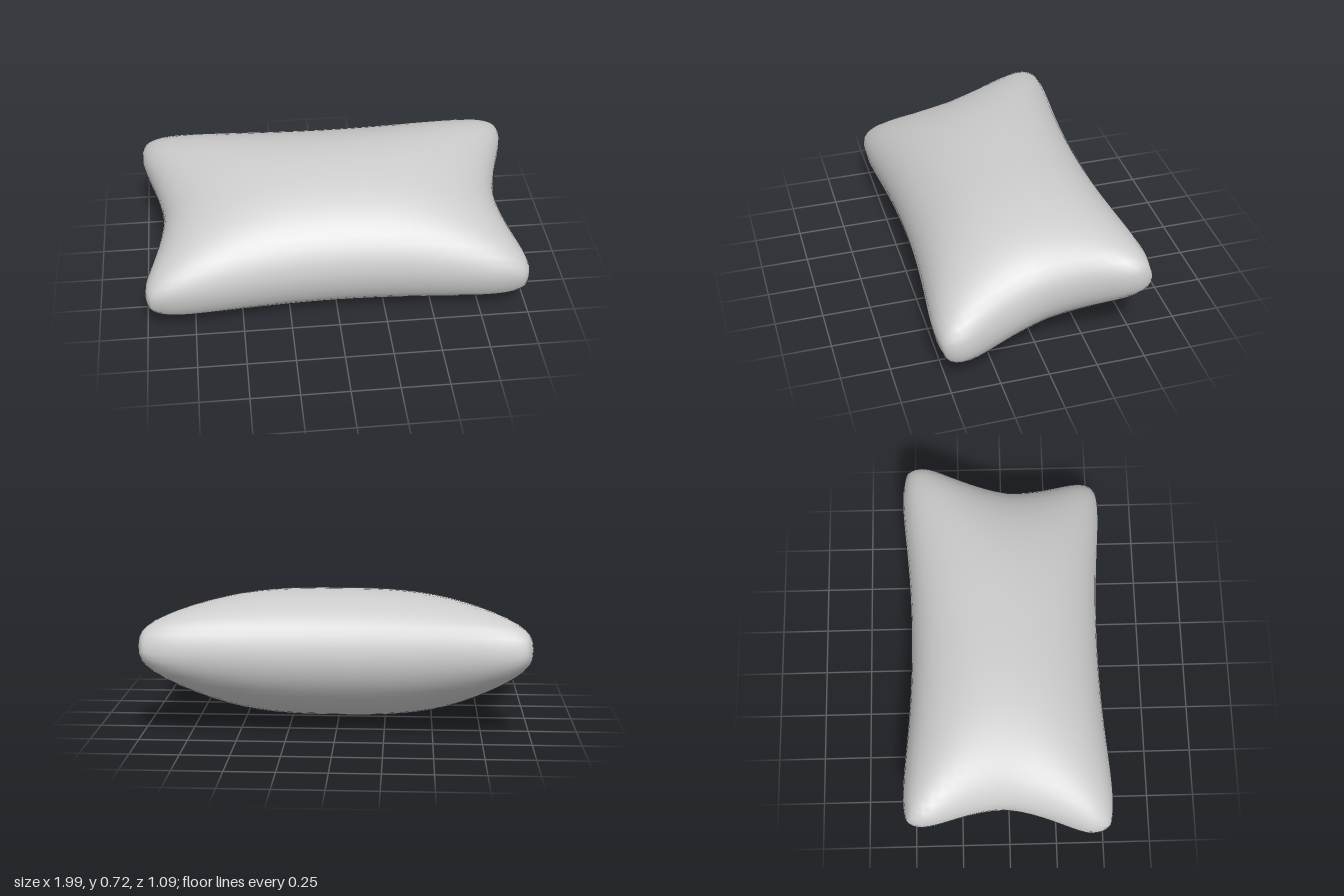
import * as THREE from 'three';
import { mergeGeometries, mergeVertices } from 'three/addons/utils/BufferGeometryUtils.js';

// One bulging sheet of the cushion; side is +1 for the upper, -1 for the lower
function cushionSheet(side) {
  const geo = new THREE.PlaneGeometry(2, 2, 32, 24);
  geo.deleteAttribute('uv');
  geo.deleteAttribute('normal');
  const pos = geo.attributes.position;
  for (let i = 0; i < pos.count; i++) {
    // sine spacing gathers the rows towards the rim
    const s = Math.sin(pos.getX(i) * Math.PI / 2);
    const t = Math.sin(pos.getY(i) * Math.PI / 2);
    // concave edges with rounded corners
    const x = s * (0.89 + 0.175 * Math.abs(t) ** 1.6 - 0.1 * t ** 8);
    const v = t * (0.504 + 0.09 * s ** 2 - 0.055 * s ** 8);
    // thickness swells from the rim to the middle, thinner at the corners
    const a = Math.max(0, 1 - Math.abs(s) ** 2.7);
    const b = Math.max(0, 1 - Math.abs(t) ** 2.1);
    const swell = (1 / Math.sqrt(a) + 1 / Math.sqrt(b) - 1) ** -2;
    pos.setXYZ(i, x, side * 0.342 * swell ** 0.45, -side * v);
  }
  return geo;
}

export function createModel() {
  const group = new THREE.Group();
  group.name = 'pillow';

  // both sheets share the rim, so the normals run smoothly over it
  const geo = mergeVertices(mergeGeometries([cushionSheet(1), cushionSheet(-1)]), 1e-4);
  geo.computeVertexNormals();

  const cushion = new THREE.Mesh(geo, new THREE.MeshStandardMaterial({ color: 0xcccccc }));
  cushion.name = 'cushion';
  cushion.rotation.x = 0.262; // back edge raised
  cushion.position.y = 0.357;
  group.add(cushion);
  return group;
}
